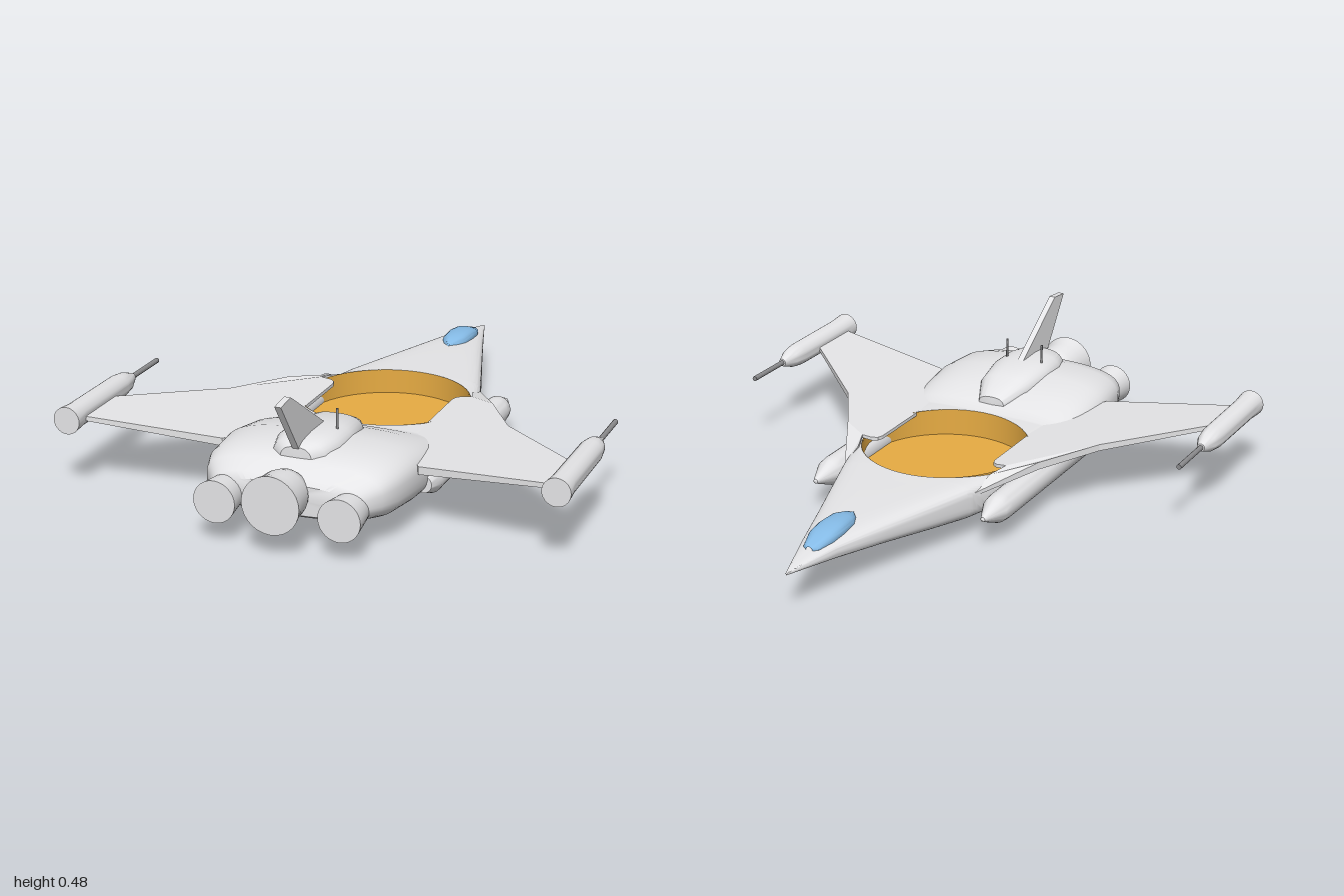
import * as THREE from 'three';
import { toCreasedNormals } from 'three/addons/utils/BufferGeometryUtils.js';

const mat = (name, color, side = THREE.FrontSide) => {
  const m = new THREE.MeshStandardMaterial({ color, side });
  m.name = name;
  return m;
};

// Round bay sunk into the deck
const BAY = { z: 0.03, r: 0.29, floor: 0.11 };

// Hull sections [z, halfWidth, top, bottom, squareness of the upper half]
const HULL = [
  [-1, 0.002, 0.143, 0.137, 3], [-0.8, 0.066, 0.175, 0.115, 3], [-0.6, 0.131, 0.187, 0.09, 3.5],
  [-0.38, 0.204, 0.193, 0.06, 5], [-0.24, 0.25, 0.196, 0.043, 6], [0, 0.32, 0.198, 0.035, 6],
  [0.2, 0.335, 0.202, 0.03, 5], [0.33, 0.335, 0.207, 0.03, 4], [0.37, 0.335, 0.223, 0.03, 3.5],
  [0.45, 0.337, 0.25, 0.03, 3.2], [0.6, 0.34, 0.28, 0.038, 3], [0.75, 0.325, 0.274, 0.055, 3],
  [0.82, 0.3, 0.256, 0.075, 3], [0.87, 0.255, 0.225, 0.095, 3], [0.885, 0.22, 0.205, 0.105, 3],
  [0.886, 0.001, 0.163, 0.162, 3],
];

// Skin over cross-sections [z, halfWidth, top, bottom, n]; gap(z) leaves the top open by a half width
function loft(stations, { n = 2, seg = 40, gap = () => 0 } = {}) {
  const pos = [], idx = [];
  const pow = (v, e) => Math.sign(v) * Math.abs(v) ** e;
  for (const [z, w, top, bottom, upper = n] of stations) {
    const c = (top + bottom) / 2, h = (top - bottom) / 2;
    const t0 = Math.asin(Math.min(0.99, gap(z) / w) ** (upper / 2));
    for (let j = 0; j <= seg; j++) {
      const t = t0 + (j / seg) * (2 * Math.PI - 2 * t0);
      const e = 2 / (Math.cos(t) > 0 ? upper : n);
      pos.push(w * pow(Math.sin(t), e), c + h * pow(Math.cos(t), e), z);
    }
  }
  for (let i = 0; i < stations.length - 1; i++) {
    for (let j = 0; j < seg; j++) {
      const a = i * (seg + 1) + j, b = a + 1, d = a + seg + 1, c = d + 1;
      idx.push(a, d, b, b, d, c);
    }
  }
  const g = new THREE.BufferGeometry();
  g.setAttribute('position', new THREE.Float32BufferAttribute(pos, 3));
  g.setIndex(idx);
  return toCreasedNormals(g, 0.6);
}

// Hull section at z, interpolated
function hullAt(z) {
  let i = 0;
  while (i < HULL.length - 2 && HULL[i + 1][0] < z) i++;
  const a = HULL[i], b = HULL[i + 1], t = (z - a[0]) / (b[0] - a[0]);
  return a.map((v, k) => v + (b[k] - v) * t);
}

// Turned part along z from [radius, z] pairs
function turned(profile, seg = 28) {
  const g = new THREE.LatheGeometry(profile.map(([r, z]) => new THREE.Vector2(r, z)), seg);
  return toCreasedNormals(g.rotateX(Math.PI / 2), 0.6);
}

export function createModel() {
  const model = new THREE.Group();
  model.name = 'starship';
  const grey = mat('hull grey', 0xe8e8ea);
  const dark = mat('gun grey', 0x8c8c8e);
  const orange = mat('bay orange', 0xffbe4b, THREE.DoubleSide);
  const blue = mat('canopy blue', 0x90caf9);
  const add = (name, geo, material, x = 0, y = 0, z = 0) => {
    const m = new THREE.Mesh(geo, material);
    m.name = name;
    m.position.set(x, y, z);
    model.add(m);
  };

  // Hull, open above the bay
  const zs = HULL.map((s) => s[0]);
  for (let i = 0; i <= 24; i++) zs.push(BAY.z - BAY.r * Math.cos((i / 24) * Math.PI));
  zs.sort((a, b) => a - b);
  const gap = (z) => Math.sqrt(Math.max(0, BAY.r ** 2 - (z - BAY.z) ** 2));
  add('hull', loft(zs.map(hullAt), { n: 2.8, seg: 64, gap }), grey);

  // Bay wall, its rim following the deck, and bay floor
  const wall = new THREE.CylinderGeometry(BAY.r, BAY.r, 1, 56, 1, true);
  const wp = wall.attributes.position;
  for (let i = 0; i < wp.count; i++) {
    wp.setY(i, wp.getY(i) > 0 ? hullAt(wp.getZ(i) + BAY.z)[2] : BAY.floor);
  }
  add('bayWall', wall, orange, 0, 0, BAY.z);
  add('bayFloor', new THREE.CircleGeometry(BAY.r, 56).rotateX(-Math.PI / 2), orange,
    0, BAY.floor, BAY.z);

  // Canopy, dorsal housing and keel
  add('canopy', loft([
    [-0.862, 0.012, 0.176, 0.15], [-0.85, 0.028, 0.182, 0.15], [-0.79, 0.046, 0.202, 0.15],
    [-0.73, 0.049, 0.211, 0.15], [-0.66, 0.045, 0.21, 0.15], [-0.62, 0.028, 0.201, 0.15],
    [-0.588, 0.002, 0.188, 0.16],
  ], { n: 2.5, seg: 24 }), blue);
  add('dorsalHousing', loft([
    [0.367, 0.002, 0.225, 0.19], [0.37, 0.05, 0.25, 0.18], [0.47, 0.095, 0.295, 0.18],
    [0.6, 0.115, 0.313, 0.18], [0.7, 0.113, 0.315, 0.18], [0.77, 0.092, 0.308, 0.18],
    [0.8, 0.055, 0.295, 0.18], [0.803, 0.001, 0.24, 0.23],
  ], { n: 2.8, seg: 32 }), grey);
  add('keel', loft([
    [-0.39, 0.004, 0.07, 0.052], [-0.3, 0.045, 0.09, 0.012], [-0.22, 0.055, 0.08, 0.006],
    [0.5, 0.055, 0.08, 0], [0.6, 0.025, 0.08, 0.026], [0.61, 0.001, 0.06, 0.04],
  ], { n: 2.6, seg: 24 }), dark);

  // Tail fin, swept back
  const fin = new THREE.Shape([
    [0.58, 0.3], [0.8, 0.29], [0.93, 0.472], [0.855, 0.48],
  ].map(([z, y]) => new THREE.Vector2(-z, y)));
  const finGeo = new THREE.ExtrudeGeometry(fin, { depth: 0.022, bevelEnabled: false });
  add('tailFin', finGeo.translate(0, 0, -0.011).rotateY(Math.PI / 2), grey);

  // Main engine
  add('mainEngine', turned([
    [0, 0.83], [0.05, 0.842], [0.073, 0.865], [0.083, 0.9], [0.086, 0.95], [0.097, 1], [0, 1],
  ]), grey, 0, 0.175, 0);

  // Wing outline [x, z], notched around the bay
  const outline = [
    [0.25, -0.23], [0.375, 0], [0.5, 0.21], [0.8, 0.5], [0.8, 0.703], [0.34, 0.62], [0.24, 0.45],
    [0.22, 0.38], [0.22, -0.025], [0.226, -0.045], [0.243, -0.058], [0.28, -0.06], [0.255, -0.13],
  ];
  for (const [side, s] of [['left', 1], ['right', -1]]) {
    // Wing, thinning and rising towards the tip, with its front root sinking into the hull
    const shape = new THREE.Shape(outline.map(([x, z]) => new THREE.Vector2(s * x, z)));
    const wing = new THREE.ExtrudeGeometry(shape, { depth: 1, bevelEnabled: false });
    wing.rotateX(Math.PI / 2);
    const p = wing.attributes.position;
    for (let i = 0; i < p.count; i++) {
      const x = Math.abs(p.getX(i)), t = (x - 0.22) / 0.58;
      const thick = x < 0.3 ? 0.012 : 0.03 - 0.014 * t;
      const sink = Math.max(0, -0.1 - p.getZ(i)) * 0.3;
      p.setY(i, 0.201 + 0.054 * t - sink + thick * p.getY(i));
    }
    wing.computeVertexNormals();
    add(`${side}Wing`, wing, grey);

    // Wingtip pod with its gun
    add(`${side}WingtipPod`, turned([
      [0, 0.295], [0.014, 0.297], [0.034, 0.35], [0.041, 0.4], [0.042, 0.69],
      [0.047, 0.757], [0, 0.757],
    ]), grey, s * 0.835, 0.252, 0);
    add(`${side}Gun`, turned([[0, 0.11], [0.009, 0.11], [0.009, 0.3]], 12), dark,
      s * 0.835, 0.252, 0);

    // Side tank along the hull
    add(`${side}Tank`, turned([
      [0, -0.31], [0.008, -0.305], [0.045, -0.22], [0.049, -0.18], [0.049, 0.48],
      [0.03, 0.53], [0, 0.53],
    ]), grey, s * 0.322, 0.115, 0);

    // Side engine
    add(`${side}Engine`, turned([
      [0, 0.82], [0.055, 0.84], [0.061, 0.88], [0.071, 0.958], [0, 0.958],
    ]), grey, s * 0.21, 0.14, 0);

    // Antenna on the dorsal housing
    add(`${side}Antenna`, new THREE.CylinderGeometry(0.004, 0.004, 0.1, 8), dark,
      s * 0.07, 0.324, 0.63);
  }
  return model;
}
